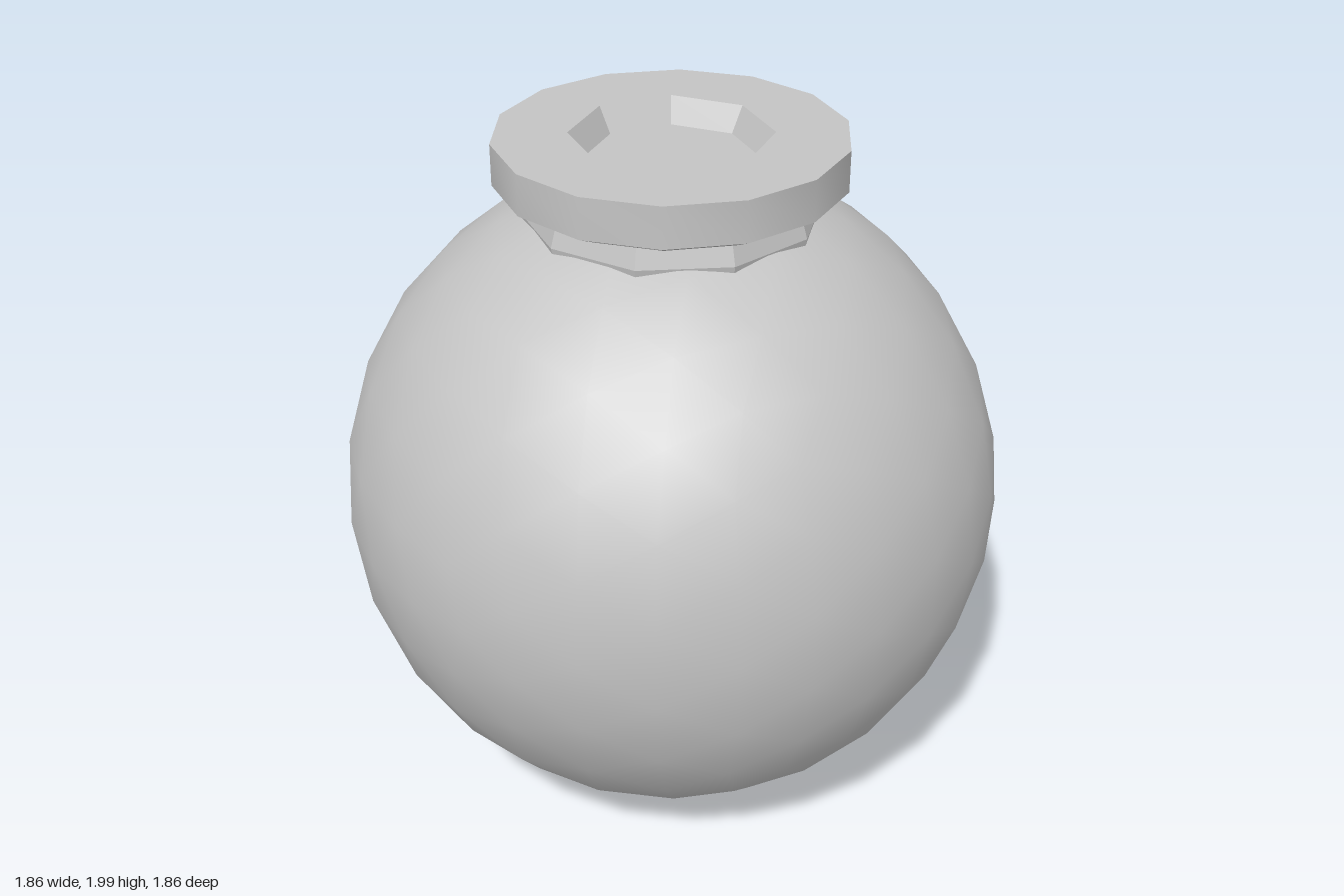
import * as THREE from 'three';
import { toCreasedNormals, mergeVertices } from 'three/addons/utils/BufferGeometryUtils.js';

const RIM_SIDES = 14, HOLE_SIDES = 8, HOLE_TURN = Math.PI / 8;
const RIM_R = 0.48, HOLE_R = 0.275, TOP = 2;

// Faceted ring around the y axis from [radius, height] pairs
function turned(profile, sides, start, crease) {
  const points = profile.map(([r, y]) => new THREE.Vector2(r, y));
  return toCreasedNormals(new THREE.LatheGeometry(points, sides, start), crease);
}

// Regular polygon whose corners line up with a turned ring
function polygon(radius, sides, start) {
  return Array.from({ length: sides }, (_, i) => {
    const a = start + (i / sides) * Math.PI * 2;
    return new THREE.Vector2(radius * Math.sin(a), -radius * Math.cos(a));
  });
}

export function createModel() {
  const model = new THREE.Group();
  const grey = new THREE.MeshStandardMaterial({ color: 0xc4c4c4 });
  grey.name = 'grey';

  const add = (name, geometry, parent = model) => {
    const mesh = new THREE.Mesh(geometry, grey);
    mesh.name = name;
    parent.add(mesh);
    return mesh;
  };

  // Round body, smooth shaded but coarse in outline
  const ball = new THREE.IcosahedronGeometry(0.937, 4);
  ball.deleteAttribute('uv');
  ball.deleteAttribute('normal');
  const smoothBall = mergeVertices(ball, 1e-4);
  smoothBall.computeVertexNormals();
  add('body', smoothBall).position.y = 0.937;

  // Faceted neck between body and rim
  add('neck', turned([[0.4, 1.74], [0.41, 1.79], [0.385, 1.87]], 10, 0, 0.1));

  // Rim with a chamfered underside
  const rim = new THREE.Group();
  rim.name = 'rim';
  model.add(rim);
  add('rimSide', turned([[0.36, 1.85], [0.41, 1.85], [RIM_R, 1.885], [RIM_R, TOP]], RIM_SIDES, 0, 0.6), rim);

  // Flat top of the rim with an octagonal opening
  const top = new THREE.Shape(polygon(RIM_R, RIM_SIDES, 0));
  top.holes.push(new THREE.Path(polygon(HOLE_R, HOLE_SIDES, HOLE_TURN)));
  const topGeometry = new THREE.ShapeGeometry(top);
  topGeometry.rotateX(-Math.PI / 2);
  add('rimTop', topGeometry, rim).position.y = TOP;

  // Shallow tapered recess with a flat floor
  add('recess', turned([[HOLE_R, TOP], [0.235, 1.93], [0, 1.93]], HOLE_SIDES, HOLE_TURN, 0.3), rim);

  return model;
}
